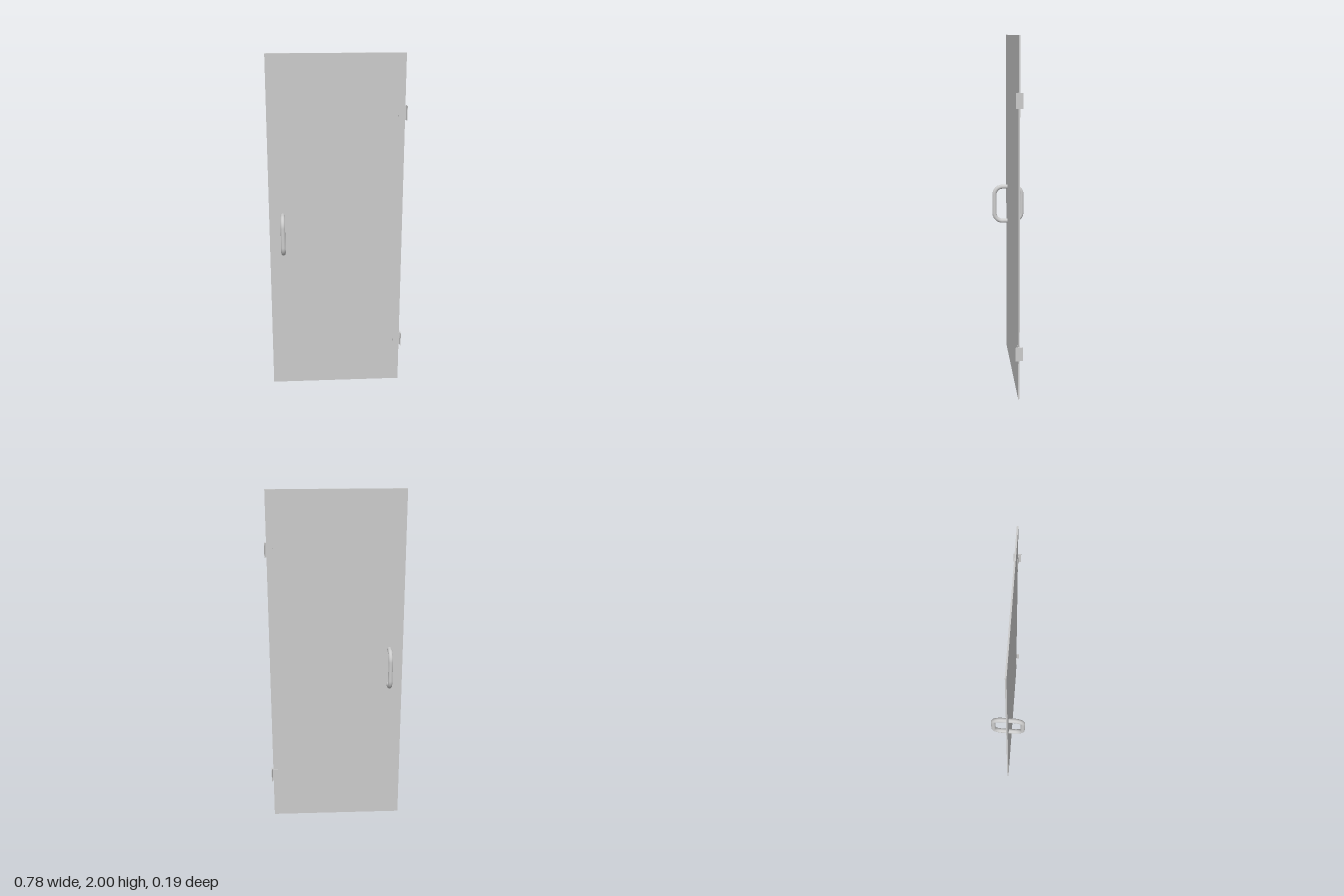
import * as THREE from 'three';

const material = new THREE.MeshStandardMaterial({ color: 0xcccccc });

function addMesh(parent, name, geometry) {
  const mesh = new THREE.Mesh(geometry, material);
  mesh.name = name;
  parent.add(mesh);
  return mesh;
}

// Closed rounded-rectangle path in the z-y plane
function handlePath(halfZ, y0, y1, r) {
  const path = new THREE.CurvePath();
  const p = (z, y) => new THREE.Vector3(0, y, z);
  const sides = [
    [p(halfZ, y0 + r), p(halfZ, y1 - r), p(halfZ, y1)],
    [p(halfZ - r, y1), p(-halfZ + r, y1), p(-halfZ, y1)],
    [p(-halfZ, y1 - r), p(-halfZ, y0 + r), p(-halfZ, y0)],
    [p(-halfZ + r, y0), p(halfZ - r, y0), p(halfZ, y0)],
  ];
  const k = 0.5523; // circular-arc Bezier factor
  sides.forEach(([start, end, corner], i) => {
    const next = sides[(i + 1) % 4][0];
    path.add(new THREE.LineCurve3(start, end));
    path.add(new THREE.CubicBezierCurve3(
      end, end.clone().lerp(corner, k), next.clone().lerp(corner, k), next));
  });
  return path;
}

// Hinge outline seen from above: a clamp on the glass edge, a neck and a flared wall plate
function hingeGeometry(height) {
  const half = [
    [0.343, 0.006], [0.379, 0.006], [0.379, 0.003], [0.383, 0.003],
    [0.386, 0.006], [0.387, 0.02], [0.39, 0.02],
  ];
  const outline = [...half, ...half.map(([x, z]) => [x, -z]).reverse()];
  const shape = new THREE.Shape(outline.map(([x, z]) => new THREE.Vector2(x, z)));
  return new THREE.ExtrudeGeometry(shape, { depth: height, bevelEnabled: false })
    .rotateX(-Math.PI / 2);
}

export function createModel() {
  const door = new THREE.Group();
  door.name = 'door';

  // Thin flat panel
  addMesh(door, 'panel', new THREE.BoxGeometry(0.771, 2, 0.008)).position.set(-0.0065, 1, 0);

  // Pull handle looping through the panel to both faces
  const path = handlePath(0.084, 0.867, 1.084, 0.05);
  addMesh(door, 'handle', new THREE.TubeGeometry(path, 160, 0.013, 20, true)).position.x = -0.314;

  // Lower and upper hinges
  const hinge = hingeGeometry(0.08);
  [['lowerHinge', 0.236], ['upperHinge', 1.632]].forEach(([name, y]) => {
    addMesh(door, name, hinge).position.y = y;
  });

  return door;
}
